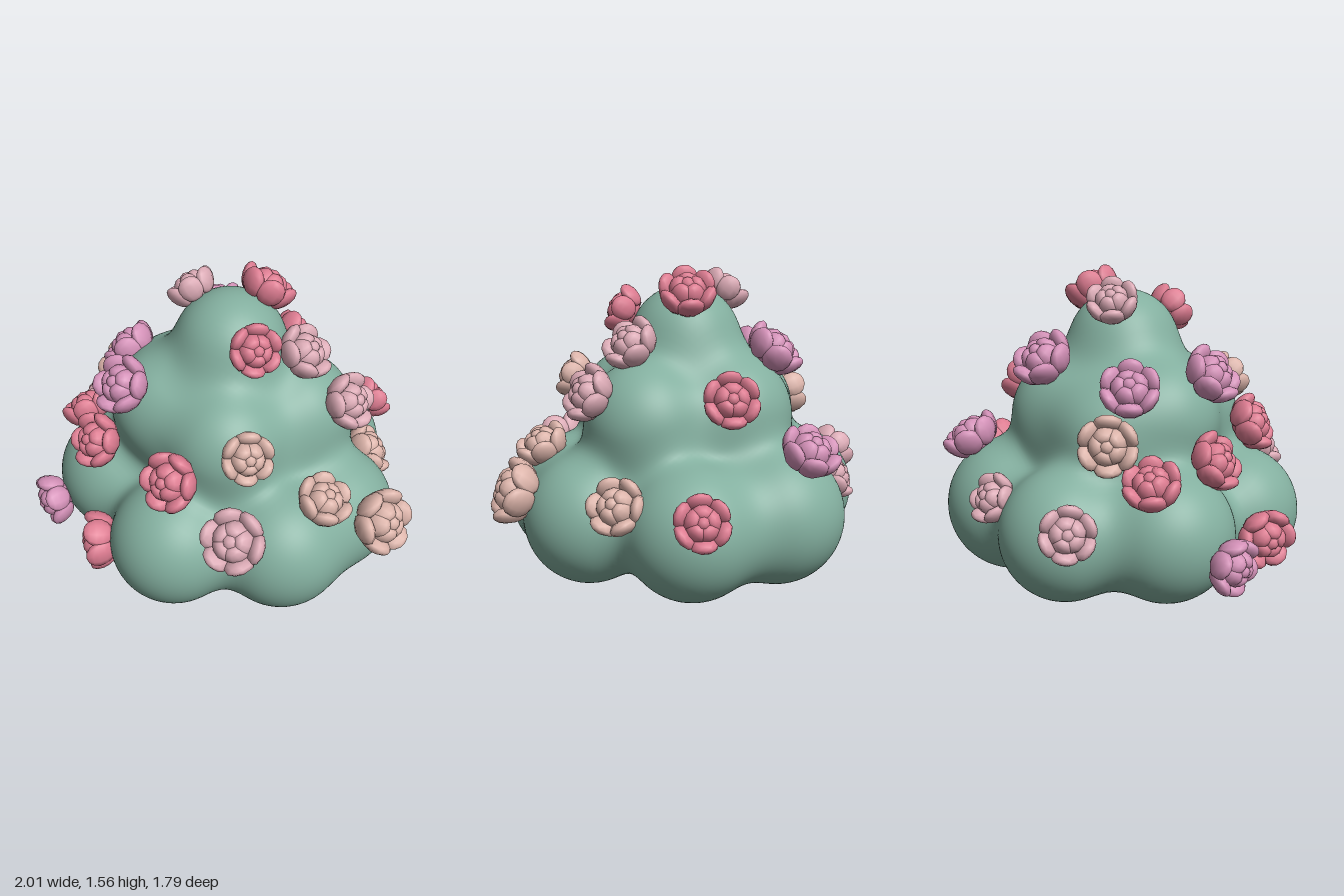
import * as THREE from 'three';
import { mergeVertices, mergeGeometries } from 'three/addons/utils/BufferGeometryUtils.js';

// Foliage lobes: x, y, z, radius
const LOBES = [
  [0, 0.46, 0, 0.45],          // core
  [-0.07, 0.35, 0.57, 0.32],   // lower ring
  [0.42, 0.36, 0.38, 0.325],
  [0.55, 0.36, 0.04, 0.325],
  [0.31, 0.36, -0.45, 0.33],
  [-0.13, 0.38, -0.55, 0.34],
  [-0.55, 0.37, -0.24, 0.32],
  [-0.55, 0.38, 0.23, 0.325],
  [0.08, 0.82, 0.28, 0.295],   // middle tier
  [0.29, 0.82, -0.08, 0.305],
  [-0.27, 0.87, 0.18, 0.295],
  [-0.34, 0.82, -0.06, 0.27],
  [-0.10, 0.84, -0.25, 0.305],
  [-0.02, 1.18, 0, 0.28],      // crown
];

// Distance to the softly blended lobes
const BLEND = 0.15;
function distance(p) {
  let d = Infinity;
  for (const [x, y, z, r] of LOBES) {
    const s = Math.hypot(p.x - x, p.y - y, p.z - z) - r;
    if (d === Infinity) { d = s; continue; }
    const h = Math.max(BLEND - Math.abs(d - s), 0) / BLEND;
    d = Math.min(d, s) - h * h * BLEND / 4;
  }
  return d;
}

function outward(p) {
  const e = 0.01;
  const slope = (axis) => {
    const a = p.clone(), b = p.clone();
    a[axis] += e;
    b[axis] -= e;
    return distance(a) - distance(b);
  };
  return new THREE.Vector3(slope('x'), slope('y'), slope('z')).normalize();
}

// Shrink-wrap a sphere onto the blended lobes
function foliageGeometry() {
  let g = new THREE.IcosahedronGeometry(1, 32);
  g.deleteAttribute('uv');
  g.deleteAttribute('normal');
  g = mergeVertices(g, 1e-5);
  const pos = g.attributes.position;
  const centre = new THREE.Vector3(0, 0.5, 0);
  const dir = new THREE.Vector3(), p = new THREE.Vector3();
  for (let i = 0; i < pos.count; i++) {
    dir.fromBufferAttribute(pos, i).normalize();
    let t = 1.4;
    for (let k = 0; k < 60; k++) {
      const d = distance(p.copy(centre).addScaledVector(dir, t));
      t -= d * 0.9;
      if (Math.abs(d) < 1e-4) break;
    }
    p.copy(centre).addScaledVector(dir, t);
    pos.setXYZ(i, p.x, Math.max(p.y, 0), p.z);
  }
  g.computeVertexNormals();
  return g;
}

// Unit blossom facing +y: broad outer petals, domed inner petals and a bud
function blossomGeometry() {
  const parts = [];
  const ring = (count, radius, height, size, tilt, turn) => {
    for (let i = 0; i < count; i++) {
      const petal = new THREE.SphereGeometry(1, 9, 7);
      petal.scale(...size);
      petal.rotateZ(tilt);
      petal.translate(radius, height, 0);
      petal.rotateY(turn + (i / count) * Math.PI * 2);
      parts.push(petal);
    }
  };
  ring(6, 0.71, -0.02, [0.26, 0.52, 0.5], -0.4, 0);
  ring(5, 0.36, 0.14, [0.3, 0.46, 0.4], 0.2, 0.3);
  const bud = new THREE.SphereGeometry(1, 7, 5);
  bud.scale(0.27, 0.3, 0.27);
  bud.translate(0, 0.36, 0);
  parts.push(bud);
  const base = new THREE.SphereGeometry(1, 10, 6);
  base.scale(0.6, 0.45, 0.6);
  base.translate(0, -0.2, 0);
  parts.push(base);
  return mergeGeometries(parts);
}

// Blossoms by colour: x, y, z, radius
const BLOSSOMS = {
  rose: [
    [0.50, 0.52, -0.74, 0.13], [0.14, 0.98, -0.53, 0.135], [0.10, 1.44, -0.16, 0.14],
    [0.20, 1.33, 0.22, 0.125], [-0.77, 0.68, 0.17, 0.135], [-0.55, 0.73, 0.45, 0.14],
    [-0.42, 0.32, 0.70, 0.145], [-0.04, 0.79, 0.65, 0.145],
  ],
  orchid: [
    [-0.15, 0.75, -0.77, 0.145], [-0.28, 1.15, -0.37, 0.15], [-0.40, 1.12, 0.45, 0.145],
    [-0.55, 1.06, 0.06, 0.14], [-0.80, 0.32, 0.54, 0.135],
  ],
  pink: [
    [-0.48, 0.50, -0.57, 0.125], [-0.92, 0.50, -0.19, 0.13], [0.35, 1.20, -0.04, 0.14],
    [0.59, 0.99, -0.03, 0.14], [-0.24, 1.42, -0.04, 0.125], [0.31, 0.59, 0.70, 0.155],
  ],
  peach: [
    [0.61, 0.49, -0.29, 0.14], [0.62, 0.67, 0.35, 0.135], [0.87, 0.51, 0.20, 0.16],
    [0.30, 0.96, 0.53, 0.125], [-0.70, 0.84, -0.03, 0.14],
  ],
};

export function createModel() {
  const colours = { leafGreen: 0x83af9f, rose: 0xdd7c91, orchid: 0xd491b8, pink: 0xdbaab5, peach: 0xdcb4aa };
  const materials = {};
  for (const [name, color] of Object.entries(colours)) {
    materials[name] = new THREE.MeshStandardMaterial({ color });
    materials[name].name = name;
  }

  const model = new THREE.Group();
  model.name = 'floweringBush';
  const foliage = new THREE.Mesh(foliageGeometry(), materials.leafGreen);
  foliage.name = 'foliage';
  model.add(foliage);

  // Seat every blossom just above the foliage, facing outward
  const geometry = blossomGeometry();
  const up = new THREE.Vector3(0, 1, 0);
  for (const [colour, list] of Object.entries(BLOSSOMS)) {
    list.forEach(([x, y, z, radius], i) => {
      const blossom = new THREE.Mesh(geometry, materials[colour]);
      blossom.name = `${colour}Blossom${i + 1}`;
      const p = new THREE.Vector3(x, y, z);
      const normal = outward(p);
      const d = distance(p);
      p.addScaledVector(normal, THREE.MathUtils.clamp(d, 0.03, 0.065) - d);
      blossom.position.copy(p);
      blossom.quaternion.setFromUnitVectors(up, normal);
      blossom.scale.setScalar(radius);
      model.add(blossom);
    });
  }
  return model;
}
